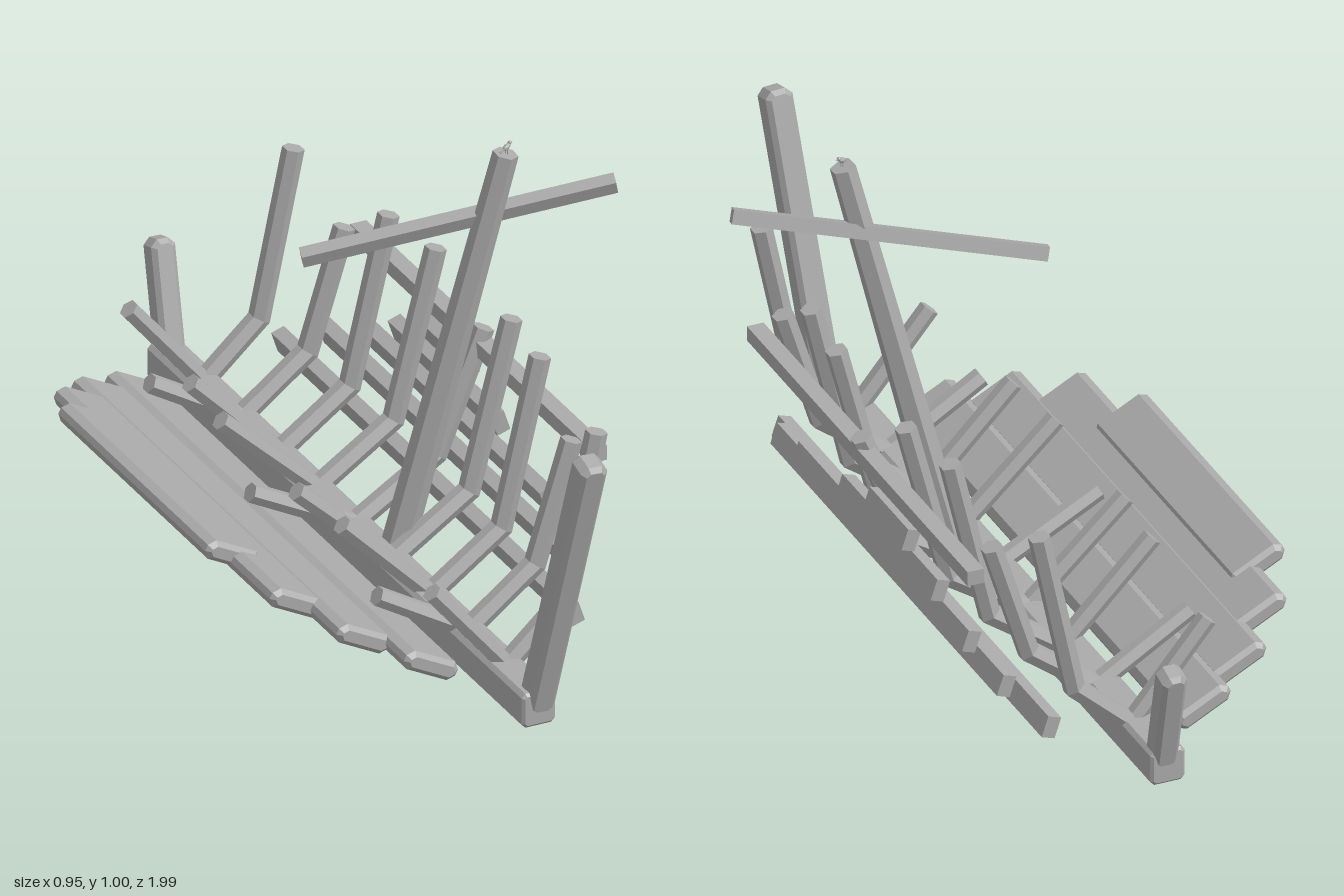
import * as THREE from 'three';

const V = (x, y, z) => new THREE.Vector3(x, y, z);
const UP = V(0, 1, 0);

export function createModel() {
  const model = new THREE.Group();
  const wood = new THREE.MeshStandardMaterial({ color: 0xaaaaaa, flatShading: true });

  function add(name, geometry, parent = model) {
    const mesh = new THREE.Mesh(geometry, wood);
    mesh.name = name;
    parent.add(mesh);
    return mesh;
  }

  // Box with all edges cut off by c, centred on the origin
  function chamferBox(w, h, d, c) {
    const a = w / 2, b = h / 2, k = c * 0.9;
    const x = a - c, y = b - c;
    const outline = [[x, -y + k], [x, y - k], [x - k, y], [-x + k, y],
      [-x, y - k], [-x, -y + k], [-x + k, -y], [x - k, -y]];
    const shape = new THREE.Shape(outline.map(p => new THREE.Vector2(...p)));
    const geo = new THREE.ExtrudeGeometry(shape, {
      depth: d - 2 * c, bevelEnabled: true, bevelSize: c, bevelThickness: c, bevelSegments: 1,
    });
    return geo.center();
  }

  // Place a mesh that is long in y between two points
  function span(mesh, a, b) {
    mesh.position.copy(a).add(b).multiplyScalar(0.5);
    mesh.quaternion.setFromUnitVectors(UP, b.clone().sub(a).normalize());
    return mesh;
  }

  // Six-sided rib through points in an x-y plane, mitred at each bend
  function ribGeometry(points, r) {
    const n = points.length - 1;
    const geo = new THREE.CylinderGeometry(r, r, n, 6, n);
    const pos = geo.attributes.position;
    const dirs = points.slice(1).map((p, i) => p.clone().sub(points[i]).normalize());
    for (let i = 0; i < pos.count; i++) {
      const ring = Math.round(pos.getY(i) + n / 2);
      const before = dirs[Math.max(ring - 1, 0)], after = dirs[Math.min(ring, n - 1)];
      const dir = before.clone().add(after).normalize();
      const side = pos.getX(i) / dir.dot(before);
      const p = points[ring];
      pos.setXYZ(i, p.x + dir.y * side, p.y - dir.x * side, pos.getZ(i));
    }
    geo.computeVertexNormals();
    return geo;
  }

  // Keel and end posts
  add('keel', chamferBox(0.078, 0.08, 1.745, 0.006)).position.set(-0.011, 0.04, -0.05);
  const posts = [
    ['bowPost', V(-0.004, 0.03, 0.79), V(0.036, 0.685, 0.968), 0.062],
    ['sternPost', V(-0.008, 0.04, -0.892), V(0.002, 0.298, -0.968), 0.056],
  ];
  for (const [name, a, b, w] of posts) {
    span(add(name, chamferBox(w, a.distanceTo(b), w, 0.01)), a, b);
  }

  // Ribs: bent and whole on the left side, broken stubs on the right
  const ribs = new THREE.Group();
  ribs.name = 'ribs';
  model.add(ribs);
  const topX = [0.21, 0.24, 0.255, 0.277, 0.3];
  const elbowX = [0.13, 0.155, 0.165, 0.178, 0.19];
  const stubX = [0.175, 0.215, 0.208, 0.226, 0.245];
  for (let i = 0; i < 9; i++) {
    const k = 4 - Math.abs(i - 4);
    const z = 0.648 - i * 0.1755;
    const short = i % 3 === 1;
    const whole = [V(0, 0.06, 0), V(elbowX[k], 0.178, 0), V(topX[k], short ? 0.45 : 0.56, 0)];
    add('leftRib', ribGeometry(whole, 0.024), ribs).position.z = z;
    const stub = [V(0, 0.06, 0), V(-stubX[k], short ? 0.19 : 0.272, 0)];
    add('rightBrokenRib', ribGeometry(stub, 0.022), ribs).position.z = z;
  }

  // Remaining hull planks outside the left ribs: x, y, front z, back z
  const strakes = [
    [0.19, 0.105, 0.59, -0.775],
    [0.245, 0.162, 0.475, -0.67],
    [0.275, 0.218, 0.3, -0.56],
    [0.288, 0.275, 0.05, -0.43],
    [0.298, 0.332, -0.11, -0.305],
  ];
  for (const [x, y, z0, z1] of strakes) {
    const plank = add('leftHullPlank', new THREE.BoxGeometry(0.031, 0.049, z0 - z1));
    plank.position.set(x, y, (z0 + z1) / 2);
    plank.rotation.z = 0.32;
  }
  add('leftRail', new THREE.BoxGeometry(0.038, 0.034, 1.115)).position.set(0.294, 0.411, -0.065);

  // Collapsed planks fanned out on the right: x, y, front z, back z
  const fallen = [
    [-0.155, 0.074, 0.615, -0.79],
    [-0.265, 0.118, 0.52, -0.727],
    [-0.355, 0.162, 0.39, -0.63],
    [-0.41, 0.198, 0.2, -0.5],
  ];
  for (const [x, y, z0, z1] of fallen) {
    const plank = add('rightFallenPlank', chamferBox(0.135, 0.044, z0 - z1, 0.01));
    plank.position.set(x, y, (z0 + z1) / 2);
    plank.rotation.z = -0.48;
  }

  // Leaning mast and its crooked yard
  const foot = V(0.03, 0.05, 0.077), head = V(0.245, 0.975, 0.158);
  span(add('mast', new THREE.CylinderGeometry(0.028, 0.036, foot.distanceTo(head), 6)), foot, head);
  const yardA = V(-0.155, 0.752, 0.005), yardB = V(0.472, 0.88, 0.218);
  span(add('yard', new THREE.BoxGeometry(0.031, yardA.distanceTo(yardB), 0.031)), yardA, yardB);

  // Small bird perched on the masthead
  const bird = new THREE.Group();
  bird.name = 'bird';
  bird.position.set(0.246, 0.978, 0.16);
  bird.rotation.y = 0.4;
  model.add(bird);
  const body = add('birdBody', new THREE.SphereGeometry(0.007, 8, 6), bird);
  body.scale.set(1.6, 0.85, 0.9);
  body.position.y = 0.013;
  body.rotation.z = 0.35;
  add('birdHead', new THREE.SphereGeometry(0.0045, 8, 6), bird).position.set(0.01, 0.0195, 0);
  const beak = add('birdBeak', new THREE.ConeGeometry(0.0017, 0.007, 5), bird);
  beak.position.set(0.017, 0.019, 0);
  beak.rotation.z = -Math.PI / 2;
  const tail = add('birdTail', new THREE.BoxGeometry(0.014, 0.002, 0.006), bird);
  tail.position.set(-0.014, 0.009, 0);
  tail.rotation.z = 0.3;
  for (const s of [-1, 1]) {
    add('birdLeg', new THREE.CylinderGeometry(0.0009, 0.0009, 0.014, 5), bird).position.set(0, 0.003, s * 0.003);
  }

  return model;
}
